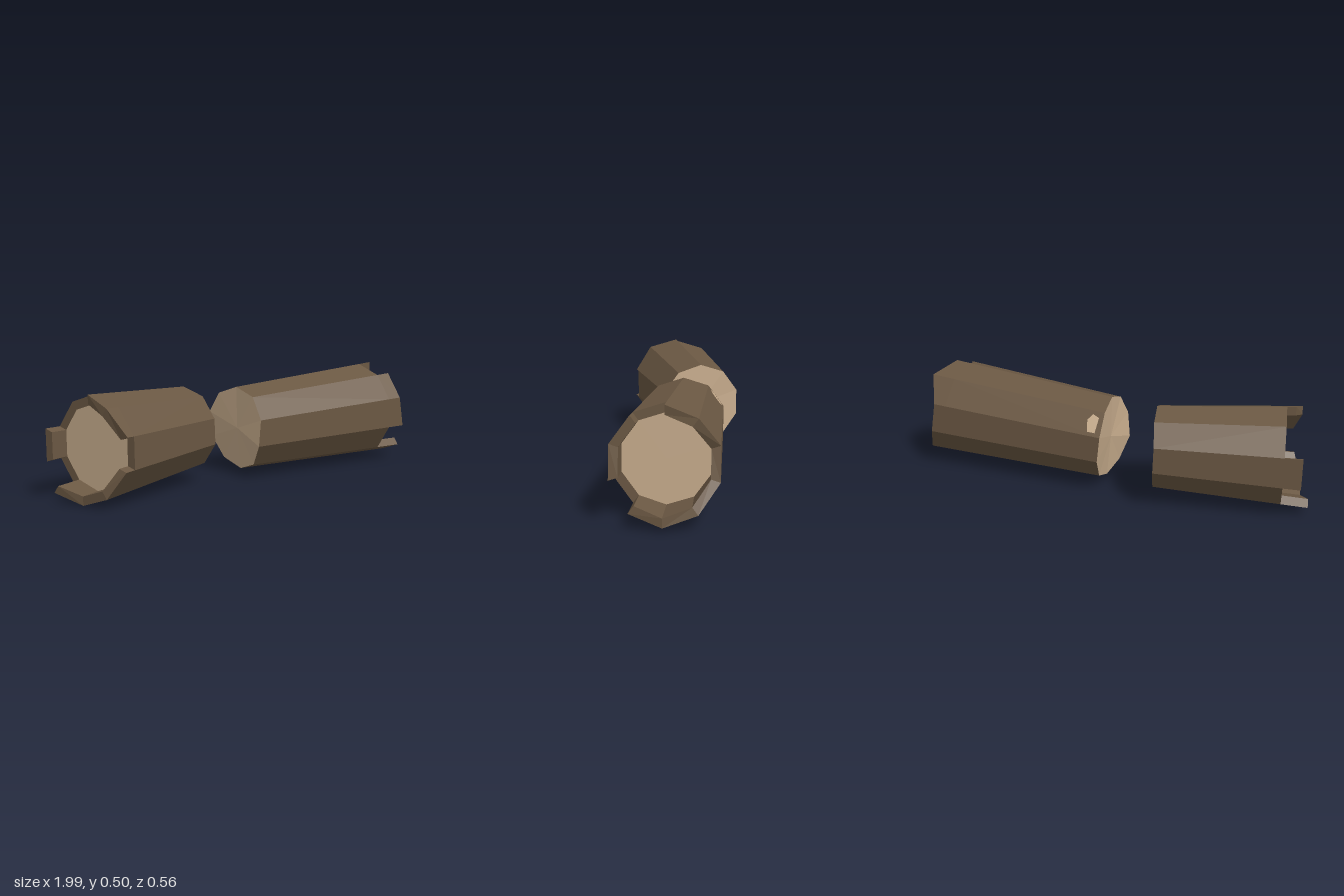
import * as THREE from 'three';

const SIDES = 10;

function makeMesh(name, tris, material, flip) {
  const pos = [];
  for (const [a, b, c] of tris) for (const p of flip ? [a, c, b] : [a, b, c]) pos.push(p.x, p.y, p.z);
  const g = new THREE.BufferGeometry();
  g.setAttribute('position', new THREE.Float32BufferAttribute(pos, 3));
  g.computeVertexNormals();
  const m = new THREE.Mesh(g, material);
  m.name = name;
  return m;
}

const quad = (a, b, c, d) => [[a, b, c], [a, c, d]];

// A ten-sided tapered log: sawn at one end, broken into uneven staves at the other.
// tips[i] holds the two corner lengths of stave i (0 = stave broken down to the floor).
function makeLog(name, o, bark, wood) {
  const group = new THREE.Group();
  group.name = name;
  const from = new THREE.Vector3(...o.from);
  const dir = new THREE.Vector3(...o.to).sub(from);
  const len = dir.length();
  dir.normalize();
  const front = new THREE.Vector3(0, 0, 1).addScaledVector(dir, -dir.z).normalize();
  const up = new THREE.Vector3().crossVectors(front, dir).normalize();
  if (up.y < 0) up.negate();
  const flip = dir.x < 0;

  // point on edge i (counted from the top towards the front) at distance s along the log
  const pt = (i, s, inset = 0) => {
    const a = (i % SIDES) * Math.PI * 2 / SIDES;
    const r = o.r0 + (o.r1 - o.r0) * s / len - inset;
    return from.clone().addScaledVector(dir, s)
      .addScaledVector(up, r * Math.cos(a)).addScaledVector(front, r * Math.sin(a));
  };
  const wall = 0.042, F = o.floor;
  const body = [], staves = [], cap = [], floor = [];
  const capMid = from.clone();
  const floorMid = from.clone().addScaledVector(dir, F);

  for (let i = 0; i < SIDES; i++) {
    const j = i + 1;
    const s0 = o.start[i], s1 = o.start[j % SIDES];
    // bark side, sawn end and recessed wood
    body.push(...quad(pt(i, s0), pt(j, s1), pt(j, F), pt(i, F)));
    cap.push([capMid, pt(j, s1), pt(i, s0)]);
    floor.push([floorMid, pt(i, F, wall), pt(j, F, wall)]);
    const [t0, t1] = o.tips[i] || [F, F];
    const A = pt(i, t0), B = pt(j, t1), C = pt(j, t1, wall), D = pt(i, t0, wall);
    staves.push(...quad(A, B, C, D));
    if (!o.tips[i]) continue;
    // standing stave: outside, inside and both flanks
    const a = pt(i, F), b = pt(j, F), c = pt(j, F, wall), d = pt(i, F, wall);
    staves.push(...quad(a, b, B, A), ...quad(c, d, D, C), ...quad(b, c, C, B), ...quad(d, a, A, D));
  }
  group.add(
    makeMesh('barkBody', body, bark, flip),
    makeMesh('brokenRim', staves, bark, flip),
    makeMesh('sawnEnd', cap, wood, flip),
    makeMesh('innerWood', floor, wood, flip)
  );

  // bare wood chip on one stave
  if (o.chip) {
    const p = (s, t) => pt(o.chip, s, -0.002).lerp(pt(o.chip + 1, s, -0.002), t);
    const c = [p(0, 0.15), p(0, 0.75), p(0.035, 0.85), p(0.055, 0.6), p(0.04, 0.15)];
    const tris = [1, 2, 3].map(k => [c[0], c[k], c[k + 1]]);
    group.add(makeMesh('bareWoodChip', tris, wood, flip));
  }
  return group;
}

export function createModel() {
  const bark = new THREE.MeshStandardMaterial({ color: 0x6b5843, flatShading: true, side: THREE.DoubleSide });
  bark.name = 'bark';
  const wood = new THREE.MeshStandardMaterial({ color: 0xc8ad8d, flatShading: true, side: THREE.DoubleSide });
  wood.name = 'wood';

  const model = new THREE.Group();
  model.name = 'hollowLogs';
  model.add(
    makeLog('longLog', {
      from: [0, 0.235, -0.02], to: [0.9, 0.265, 0.03], r0: 0.205, r1: 0.243, floor: 0.815,
      start: [0, 0.01, 0, -0.015, 0.005, 0.015, 0, -0.02, -0.03, -0.02],
      tips: [0, [0.89, 0.89], [0.89, 0.91], 0, [0.96, 0.99], [0.99, 0.96],
        [0.96, 0.9], [0.9, 0.88], [0.88, 0.94], [0.94, 0.89]],
      chip: 8
    }, bark, wood),
    makeLog('shortLog', {
      from: [-0.265, 0.255, -0.1], to: [-0.896, 0.246, 0.055], r0: 0.2, r1: 0.24, floor: 0.598,
      start: [0, 0, 0.005, 0, -0.005, 0, 0, 0.005, 0.008, 0],
      tips: [[0.64, 0.675], [0.675, 0.64], 0, [0.655, 0.69], [0.69, 0.69],
        [0.69, 0.722], 0, [0.68, 0.68], 0, 0]
    }, bark, wood)
  );
  return model;
}
